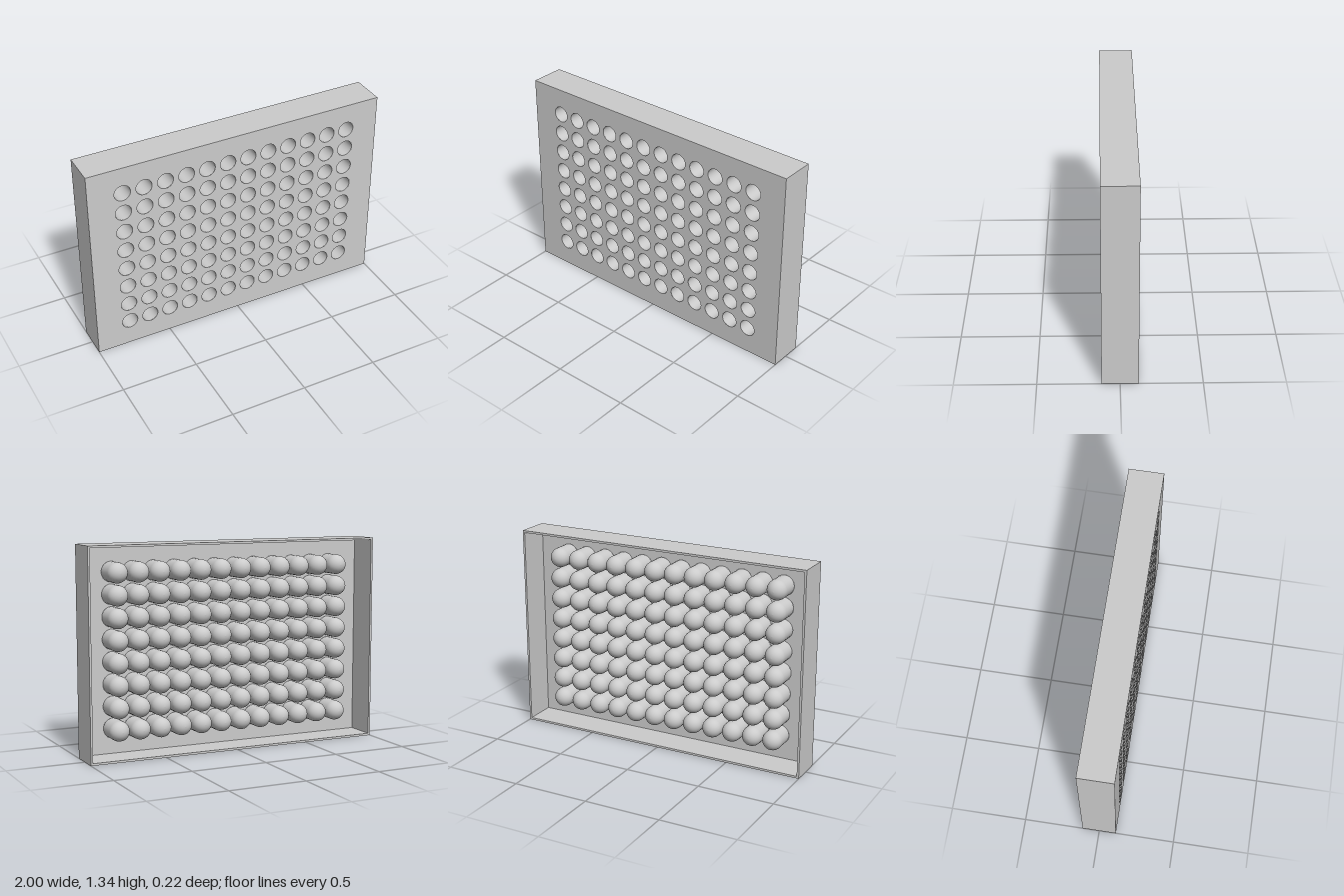
import * as THREE from 'three';

const COLS = 12, ROWS = 8, PITCH = 0.141;
const W = 1, H = 0.67, FRONT = 0.112;      // half width, half height, half depth
const WALL = 0.014, PLATE = 0.016;
const R_IN = 0.053, R_OUT = 0.065;         // well bore and well outside
const SEGMENTS = 24, Z_BOTTOM = -0.012;    // centre of the rounded well ends

// Centres of the wells, relative to the middle of the plate
function wellCentres() {
  const list = [];
  for (let i = 0; i < COLS; i++)
    for (let j = 0; j < ROWS; j++)
      list.push([(i - (COLS - 1) / 2) * PITCH, (j - (ROWS - 1) / 2) * PITCH]);
  return list;
}

// Flat rectangle pierced by a round hole at every well
function piercedPlate(w, h, radius) {
  const shape = new THREE.Shape([
    new THREE.Vector2(-w, -h), new THREE.Vector2(w, -h),
    new THREE.Vector2(w, h), new THREE.Vector2(-w, h),
  ]);
  for (const [x, y] of wellCentres()) {
    const hole = new THREE.Path();
    hole.absarc(x, y, radius, 0, Math.PI * 2, true);
    shape.holes.push(hole);
  }
  return new THREE.ShapeGeometry(shape, SEGMENTS);
}

// Flat-sided skin joining a run of rectangular sections [halfWidth, halfHeight, z]
function rectangularSkin(sections) {
  const corners = ([w, h, z]) => [[w, -h, z], [w, h, z], [-w, h, z], [-w, -h, z]];
  const positions = [];
  for (let s = 0; s < sections.length - 1; s++) {
    const a = corners(sections[s]), b = corners(sections[s + 1]);
    for (let j = 0; j < 4; j++) {
      const k = (j + 1) % 4;
      positions.push(...a[j], ...b[j], ...b[k], ...a[j], ...b[k], ...a[k]);
    }
  }
  const geometry = new THREE.BufferGeometry();
  geometry.setAttribute('position', new THREE.Float32BufferAttribute(positions, 3));
  geometry.computeVertexNormals();
  return geometry;
}

// Round-ended tube surface along z, open towards the front
function tubeSurface(radius, openZ, inward) {
  const points = [];
  for (let i = 0; i <= 8; i++) {
    const a = (i / 8) * Math.PI / 2;
    points.push(new THREE.Vector2(radius * Math.sin(a), Z_BOTTOM - radius * Math.cos(a)));
  }
  points[0].x = 0;
  points.push(new THREE.Vector2(radius, openZ));
  if (inward) points.reverse();
  return new THREE.LatheGeometry(points, SEGMENTS).rotateX(Math.PI / 2);
}

export function createModel() {
  const model = new THREE.Group();
  model.name = 'wellPlate';
  const material = new THREE.MeshStandardMaterial({ color: 0xcccccc });

  const add = (parent, name, geometry, x = 0, y = 0) => {
    const mesh = new THREE.Mesh(geometry, material);
    mesh.name = name;
    mesh.position.set(x, y, 0);
    parent.add(mesh);
    return mesh;
  };

  // Hollow surround, open at the back
  const w = W - WALL, h = H - WALL, back = FRONT - PLATE;
  add(model, 'surround', rectangularSkin([
    [W, H, FRONT], [W, H, -FRONT], [w, h, -FRONT], [w, h, -0.005], [w, h, back],
  ]), 0, H);

  // Front plate: outer face, and inner face seen from the open back
  add(model, 'plateFront', piercedPlate(W, H, R_IN).translate(0, 0, FRONT), 0, H);
  add(model, 'plateBack',
    piercedPlate(w, h, R_OUT).rotateY(Math.PI).translate(0, 0, back), 0, H);

  // Grid of round-bottomed wells
  const wells = new THREE.Group();
  wells.name = 'wells';
  const bore = tubeSurface(R_IN, FRONT, true);
  const shell = tubeSurface(R_OUT, back, false);
  for (const [x, y] of wellCentres()) {
    add(wells, 'wellBore', bore, x, y + H);
    add(wells, 'wellShell', shell, x, y + H);
  }
  model.add(wells);
  return model;
}
